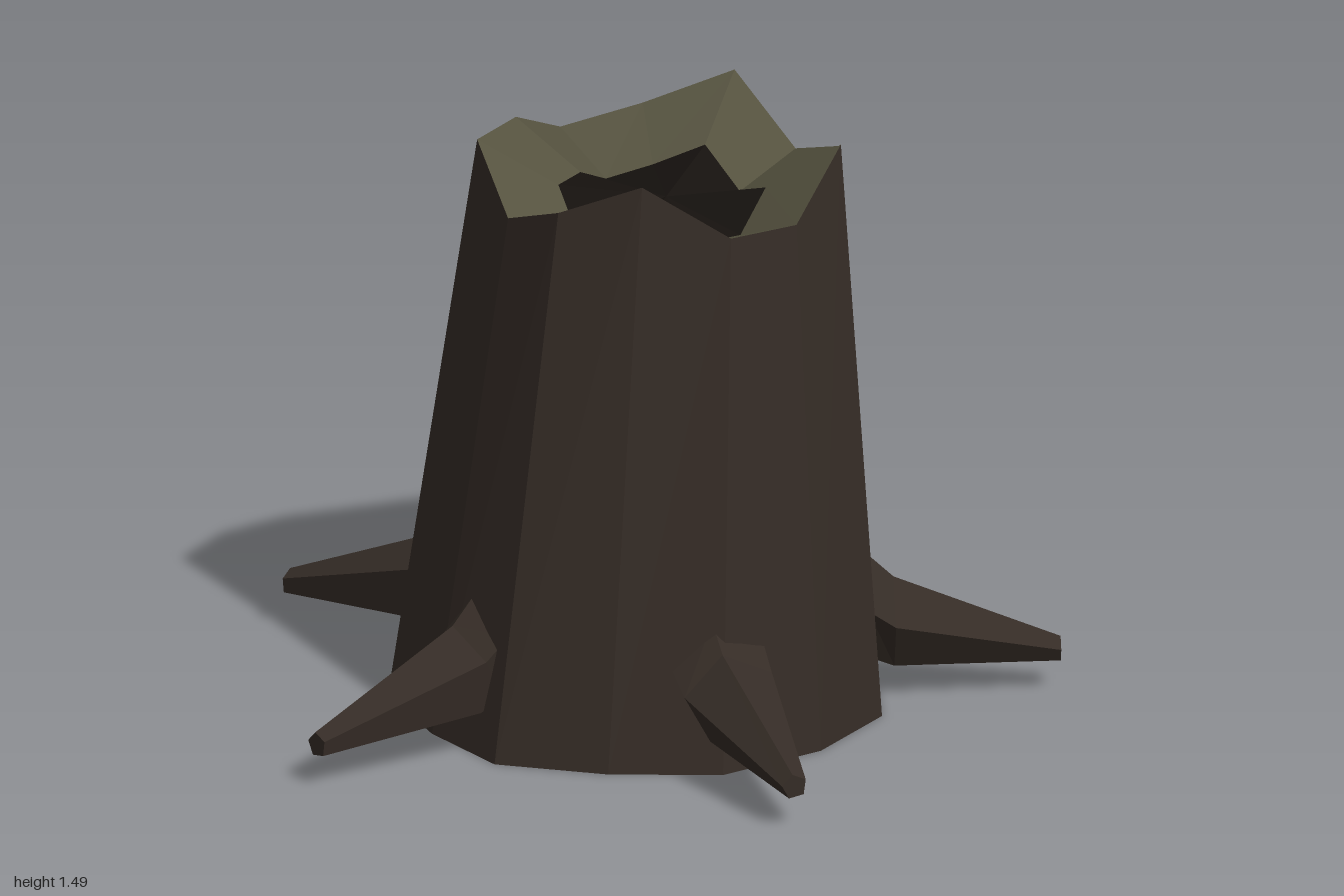
import * as THREE from 'three';

const bark = new THREE.MeshStandardMaterial({ color: 0x352c26, flatShading: true });
const wood = new THREE.MeshStandardMaterial({ color: 0x55523f, flatShading: true });
const dark = new THREE.MeshStandardMaterial({ color: 0x15110e, flatShading: true });

// Joins consecutive rings of points with flat quads
function loft(name, rings, material) {
  const pos = [];
  for (let r = 0; r + 1 < rings.length; r++) {
    const a = rings[r], b = rings[r + 1], n = a.length;
    for (let i = 0; i < n; i++) {
      const j = (i + 1) % n;
      for (const p of [a[i], a[j], b[j], a[i], b[j], b[i]]) pos.push(p.x, p.y, p.z);
    }
  }
  const geo = new THREE.BufferGeometry();
  geo.setAttribute('position', new THREE.Float32BufferAttribute(pos, 3));
  geo.computeVertexNormals();
  const mesh = new THREE.Mesh(geo, material);
  mesh.name = name;
  return mesh;
}

// Trunk corners: base x, base z, top x, top z, top height
const corners = [
  [-0.66, -0.21, -0.43, -0.21, 1.46],
  [-0.62, 0.10, -0.40, 0.00, 1.32],
  [-0.52, 0.36, -0.32, 0.21, 1.40],
  [-0.26, 0.50, -0.13, 0.32, 1.49],
  [0.02, 0.57, 0.09, 0.36, 1.35],
  [0.30, 0.45, 0.28, 0.27, 1.34],
  [0.51, 0.23, 0.43, 0.12, 1.49],
  [0.565, -0.08, 0.48, -0.09, 1.41],
  [0.46, -0.32, 0.41, -0.29, 1.34],
  [0.34, -0.57, 0.30, -0.49, 1.49],
  [0.02, -0.63, 0.07, -0.52, 1.41],
  [-0.27, -0.65, -0.14, -0.53, 1.36],
  [-0.47, -0.45, -0.29, -0.38, 1.45],
];

// Roots: base x, base z, tip x, tip z
const roots = [
  [0.55, 0.05, 0.995, 0.125],
  [0.04, 0.52, 0.105, 0.99],
  [-0.55, 0.19, -0.99, 0.41],
  [-0.44, -0.48, -0.775, -0.805],
  [0.23, -0.58, 0.445, -0.98],
];

function makeRoot([bx, bz, tx, tz]) {
  const base = new THREE.Vector3(bx, 0, bz);
  const dir = new THREE.Vector3(tx - bx, 0, tz - bz);
  const length = dir.length();
  dir.normalize();
  const side = new THREE.Vector3(dir.z, 0, -dir.x);
  // Five-sided section at a distance along the root
  const ring = (along, y, halfWidth, halfHeight) => Array.from({ length: 5 }, (_, i) => {
    const a = THREE.MathUtils.degToRad(100 + 72 * i);
    const p = base.clone().addScaledVector(dir, along).addScaledVector(side, halfWidth * Math.cos(a));
    p.y = y + halfHeight * Math.sin(a);
    return p;
  });
  return loft('root', [
    ring(-0.15, 0.25, 0.10, 0.14),
    ring(-0.04, 0.24, 0.13, 0.14),
    ring(0.03, 0.195, 0.125, 0.12),
    ring(length, 0.107, 0.034, 0.033),
    ring(length, 0.107, 0, 0),
  ], bark);
}

export function createModel() {
  const group = new THREE.Group();
  group.name = 'treeStump';

  const V = (x, y, z) => new THREE.Vector3(x, y, z);
  const bottom = corners.map(c => V(c[0], 0, c[1]));
  const top = corners.map(c => V(c[2], c[4], c[3]));
  // Both ends slope inwards to a dark core
  const innerTop = top.map(p => V(
    0.03 + (p.x - 0.03) * 0.57, 1.31 + (p.y - 1.41) * 0.6, -0.095 + (p.z + 0.095) * 0.57));
  const innerBottom = bottom.map(p => V(p.x * 0.57 - 0.02, 0.1, p.z * 0.57 - 0.02));
  const topCentre = top.map(() => V(0.03, 1.31, -0.095));
  const bottomCentre = bottom.map(() => V(-0.03, 0.1, -0.04));

  group.add(loft('trunkBark', [bottom, top], bark));
  group.add(loft('brokenRim', [top, innerTop], wood));
  group.add(loft('topCore', [innerTop, topCentre], dark));
  group.add(loft('cutBase', [innerBottom, bottom], wood));
  group.add(loft('baseCore', [bottomCentre, innerBottom], dark));
  for (const r of roots) group.add(makeRoot(r));
  return group;
}
